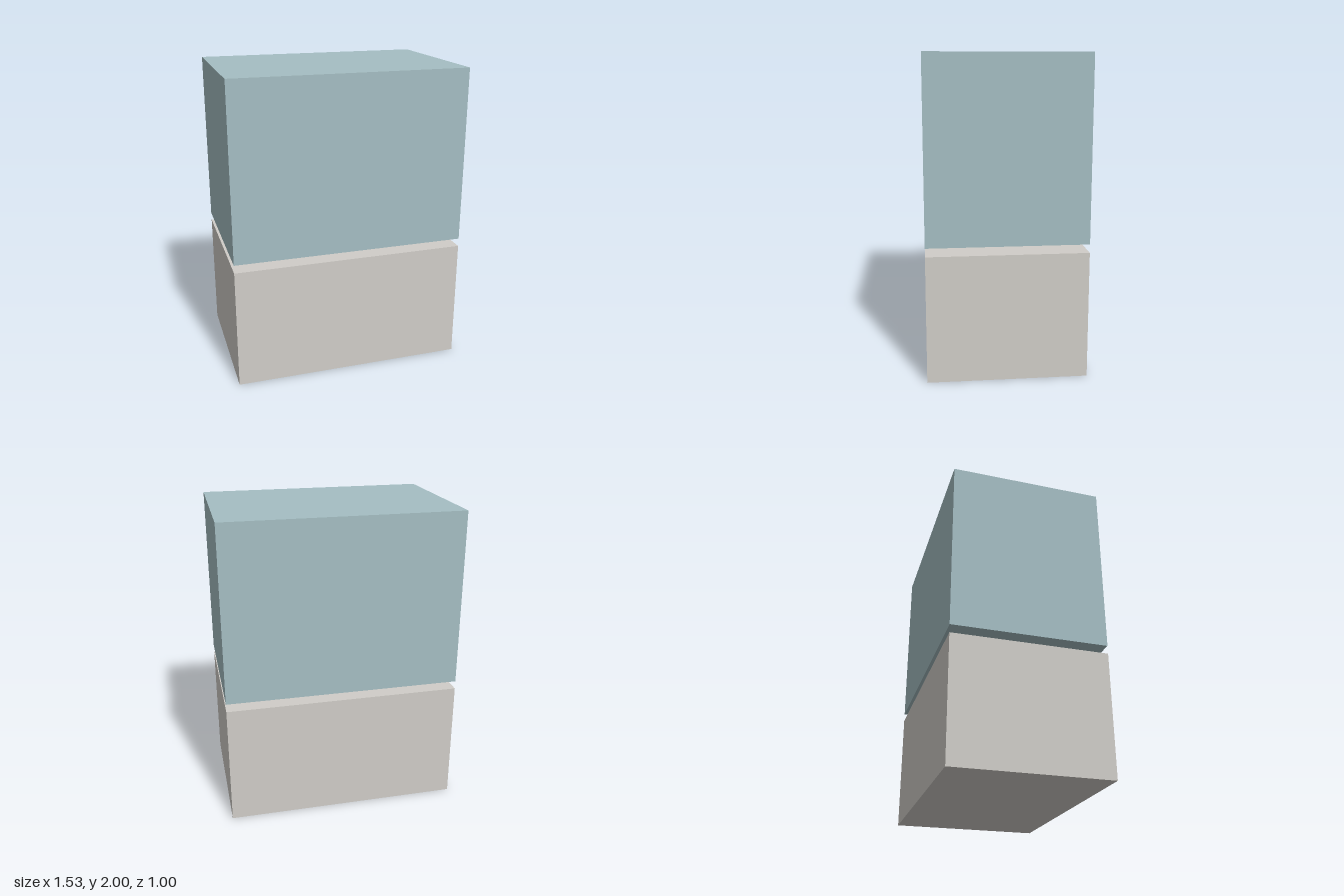
import * as THREE from 'three';

const WIDTH = 1.53;
const DEPTH = 1.0;

function part(name, geometry, color, y) {
  const mesh = new THREE.Mesh(geometry, new THREE.MeshStandardMaterial({ color }));
  mesh.name = name;
  mesh.position.y = y;
  return mesh;
}

// A block spanning bottom..top
function block(name, bottom, top, color) {
  return part(name, new THREE.BoxGeometry(WIDTH, top - bottom, DEPTH), color, (bottom + top) / 2);
}

export function createModel() {
  const model = new THREE.Group();
  model.name = 'stackedBlocks';

  const baseTop = 0.8;
  const ballRadius = 0.29;

  model.add(block('lowerBlock', 0, baseTop, 0xd0cdc8));
  model.add(block('upperBlock', 0.853, 2, 0xa5bec3));

  // Ball resting on the lower block, mostly sunk into the upper one
  model.add(part('pivotBall', new THREE.SphereGeometry(ballRadius, 32, 16), 0x222222, baseTop + ballRadius));

  return model;
}
